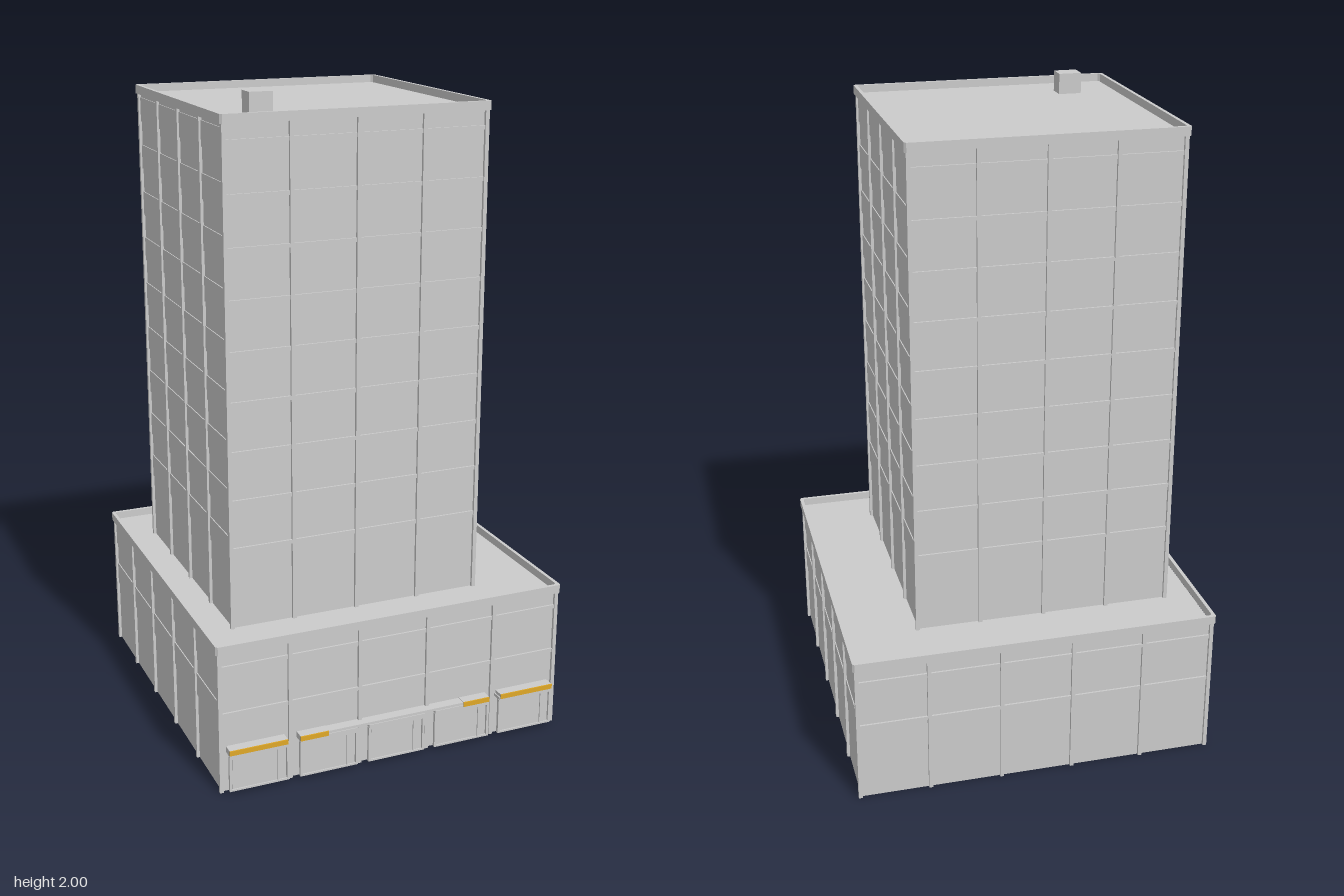
import * as THREE from 'three';

const grey = new THREE.MeshStandardMaterial({ color: 0xcccccc, flatShading: true });
const amber = new THREE.MeshStandardMaterial({ color: 0xe0a828, flatShading: true });

// Box given by its lower and upper corners
function box(parent, name, x0, x1, y0, y1, z0, z1, material = grey) {
  const mesh = new THREE.Mesh(new THREE.BoxGeometry(x1 - x0, y1 - y0, z1 - z0), material);
  mesh.position.set((x0 + x1) / 2, (y0 + y1) / 2, (z0 + z1) / 2);
  mesh.name = name;
  parent.add(mesh);
  return mesh;
}

// Square outline with cut corners
function outline(path, half, cut) {
  const a = half, b = half - cut;
  path.setFromPoints([[b, -a], [a, -b], [a, b], [b, a], [-b, a], [-a, b], [-a, -b], [-b, -a]]
    .map(([x, y]) => new THREE.Vector2(x, y)));
  path.closePath();
  return path;
}

function parapet(half, y0, y1) {
  const ring = outline(new THREE.Shape(), half, 0.006);
  ring.holes.push(outline(new THREE.Path(), half - 0.011, 0.006));
  const geometry = new THREE.ExtrudeGeometry(ring, { depth: y1 - y0, bevelEnabled: false });
  geometry.rotateX(-Math.PI / 2);
  const mesh = new THREE.Mesh(geometry, grey);
  mesh.position.y = y0;
  mesh.name = 'parapet';
  return mesh;
}

// Square block with columns on every side, floor ledges front and back, spandrels at the sides
function block({ name, half, y0, y1, bays, floors }) {
  const group = new THREE.Group();
  group.name = name;
  const wall = half - 0.014, face = half - 0.005, top = y1 - 0.027;
  box(group, 'walls', -wall, wall, y0, top + 0.004, -wall, wall);
  group.add(parapet(half, top, y1));
  for (let side = 0; side < 4; side++) {
    const facade = new THREE.Group();
    facade.name = 'facade';
    facade.rotation.y = side * Math.PI / 2;
    for (let i = 1; i < bays; i++) {
      const x = -face + 2 * face * i / bays;
      box(facade, 'column', x - 0.006, x + 0.006, y0, top, wall - 0.002, face);
    }
    box(facade, 'cornerColumn', face - 0.012, face, y0, top, face - 0.012, face);
    const rise = side % 2 ? 0.037 : 0.006;
    const proud = side % 2 ? 0.003 : 0.006;
    for (const y of floors) {
      box(facade, side % 2 ? 'spandrel' : 'floorLedge', -wall, wall,
        y - rise, Math.min(y + rise, top), wall - 0.002, wall + proud);
    }
    group.add(facade);
  }
  return group;
}

// One shopfront: a framed glass panel with a door division, just off the wall
function shopfront(x) {
  const shop = new THREE.Group();
  shop.name = 'shopfront';
  shop.position.x = x;
  const w = 0.09, z0 = 0.563, z1 = 0.573, low = 0.012, high = 0.128;
  box(shop, 'glass', -w + 0.006, w - 0.006, low + 0.006, high - 0.008, z0 + 0.002, z1 - 0.004);
  for (const s of [-1, 1]) box(shop, 'frameSide', s * w - 0.004, s * w + 0.004, low, high, z0, z1);
  box(shop, 'frameBottom', -w, w, low, low + 0.006, z0, z1);
  box(shop, 'frameTop', -w, w, high - 0.008, high, z0, z1);
  box(shop, 'doorPost', 0.055, 0.059, low, high, z0, z1);
  box(shop, 'lintel', -w - 0.003, w + 0.003, high, 0.137, 0.54, 0.575);
  return shop;
}

export function createModel() {
  const model = new THREE.Group();
  model.name = 'officeTower';

  const podium = block({ name: 'podium', half: 0.566, y0: 0, y1: 0.475, bays: 5, floors: [0.25, 0.4] });
  podium.position.z = -0.011;
  model.add(podium);

  const floors = Array.from({ length: 9 }, (_, i) => 0.7 + i * 0.148);
  const tower = block({ name: 'tower', half: 0.41, y0: 0.45, y1: 1.96, bays: 4, floors });
  tower.position.set(-0.066, 0, 0.01);
  model.add(tower);

  box(model, 'roofUnit', -0.346, -0.275, 1.93, 2, 0.23, 0.289);

  // Street level
  for (let i = -2; i <= 2; i++) model.add(shopfront(i * 0.222));
  box(model, 'entranceCanopy', -0.225, 0.225, 0.138, 0.146, 0.54, 0.574);
  for (const s of [-1, 1]) {
    for (const [near, far] of [[0.225, 0.315], [0.355, 0.537]]) {
      const [x0, x1] = s > 0 ? [near, far] : [-far, -near];
      box(model, 'awning', x0, x1, 0.134, 0.147, 0.54, 0.573);
      box(model, 'awningFascia', x0, x1, 0.132, 0.147, 0.573, 0.577, amber);
    }
  }
  return model;
}
